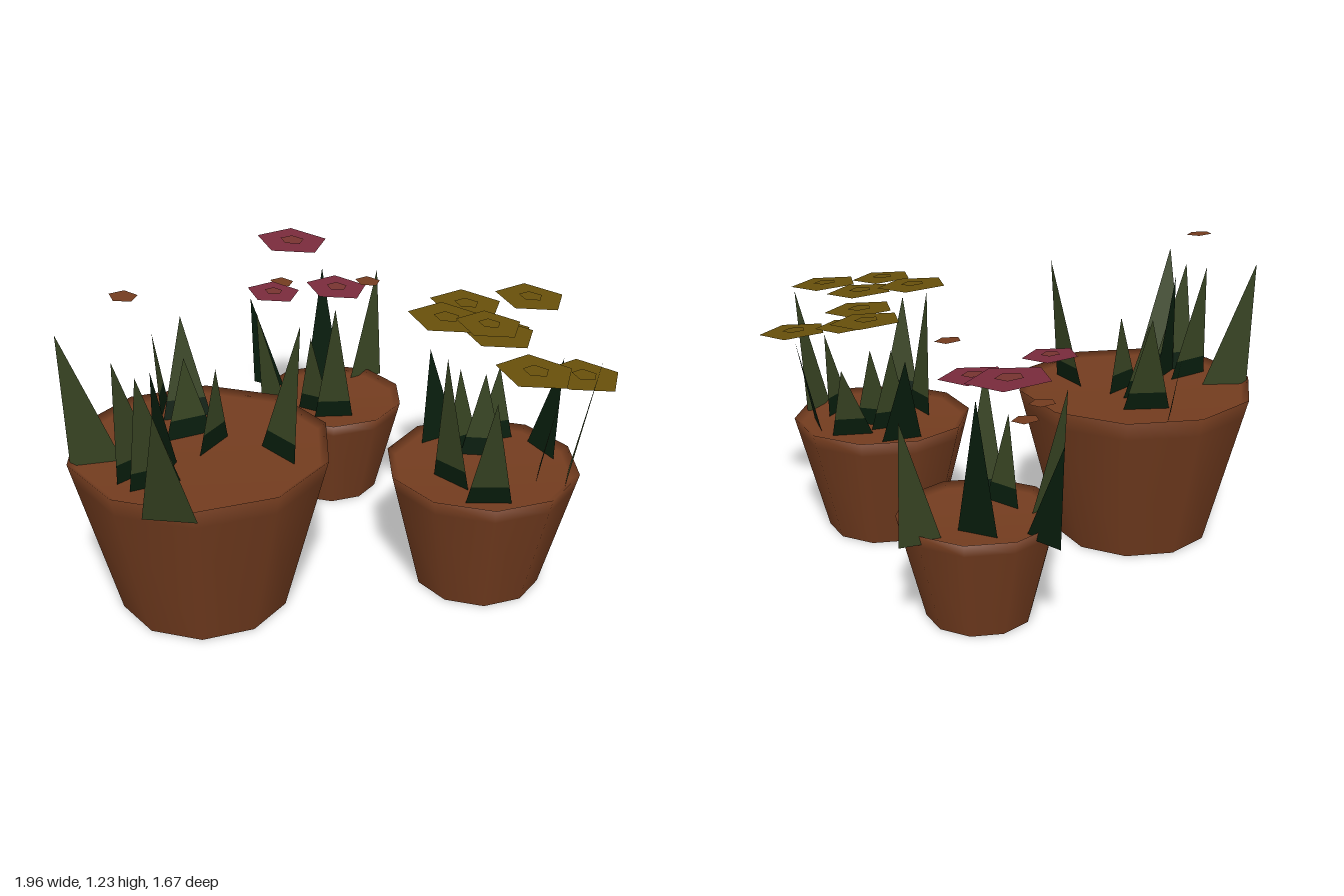
import * as THREE from 'three';

const mat = (name, color) => {
  const m = new THREE.MeshStandardMaterial({ color, side: THREE.DoubleSide });
  m.name = name;
  return m;
};

export function createModel() {
  const clay = mat('clay', 0x733c1f);
  const leafGreen = mat('leaf green', 0x374322);
  const darkGreen = mat('dark green', 0x071c0c);
  const yellow = mat('yellow petal', 0x674f0a);
  const pink = mat('pink petal', 0x792b3c);
  const rosy = mat('rosy centre', 0x773330);

  const root = new THREE.Group();
  const add = (parent, name, geo, material, y = 0) => {
    const m = new THREE.Mesh(geo, material);
    m.name = name;
    m.position.y = y;
    parent.add(m);
  };

  // Ten-sided tapering pot, open below, with a soft rim running into the sunken soil
  function addPot(parent, rTop, rBase, h) {
    const at = (t) => new THREE.Vector2(rBase + (rTop - rBase) * t, h * t);
    const soilY = h - 0.02;
    const profile = [at(0), at(0.88), at(1), new THREE.Vector2(rTop - 0.03, soilY), new THREE.Vector2(0, soilY)];
    add(parent, 'pot', new THREE.LatheGeometry(profile, 10, Math.PI / 2), clay);
  }

  // Flat polygon with three or four corners
  function polygon(points) {
    const g = new THREE.BufferGeometry().setFromPoints(points);
    g.setIndex(points.length === 4 ? [0, 1, 2, 0, 2, 3] : [0, 1, 2]);
    g.computeVertexNormals();
    return g;
  }

  // Blade leaning outward to its tip; its foot runs around the pot unless a heading is given
  function addLeaf(parent, pot, tip, heading, dark) {
    const y = pot.height - 0.035;
    const angle = heading ?? Math.atan2(tip.x, -tip.z);
    const half = new THREE.Vector3(Math.cos(angle), 0, Math.sin(angle)).multiplyScalar(0.055 + pot.rTop * 0.08);
    const mid = new THREE.Vector3(tip.x * 0.77, y, tip.z * 0.77);
    const a = mid.clone().sub(half), b = mid.clone().add(half);
    const outside = Math.hypot(tip.x, tip.z) > pot.rTop;
    if (dark || outside) {
      add(parent, 'leaf', polygon([a, b, tip]), dark ? darkGreen : leafGreen);
      return;
    }
    const k = 0.085 / (tip.y - y);
    const a2 = a.clone().lerp(tip, k), b2 = b.clone().lerp(tip, k);
    add(parent, 'leafFoot', polygon([a, b, b2, a2]), darkGreen);
    add(parent, 'leafBlade', polygon([a2, b2, tip]), leafGreen);
  }

  // Flat five-sided disc, slightly tilted, with an optional centre
  function addFlower(parent, x, y, z, radius, petal, centre) {
    const f = new THREE.Group();
    f.name = 'flower';
    const disc = (r) => new THREE.CircleGeometry(r, 5, 0.02).rotateX(-Math.PI / 2);
    add(f, 'petals', disc(radius), petal);
    if (centre) add(f, 'flowerCentre', disc(radius * 0.34), centre, 0.005);
    f.position.set(x, y, z);
    f.rotation.set(0.05, 0, -0.06);
    parent.add(f);
  }

  // One potted plant; all positions are absolute, leaves are tip x, y, z and heading
  function addPlant(name, pot, leaves, darkLeaves, flowers = [], petal, centre, buds = []) {
    const g = new THREE.Group();
    g.name = name;
    g.position.set(pot.x, 0, pot.z);
    root.add(g);
    addPot(g, pot.rTop, pot.rBase, pot.height);
    const grow = (list, dark) => list.forEach(([x, y, z, heading]) =>
      addLeaf(g, pot, new THREE.Vector3(x - pot.x, y, z - pot.z), heading, dark));
    grow(leaves, false);
    grow(darkLeaves, true);
    flowers.forEach(([x, y, z, r = 0.14]) => addFlower(g, x - pot.x, y, z - pot.z, r, petal, centre));
    buds.forEach(([x, y, z]) => addFlower(g, x - pot.x, y, z - pot.z, 0.05, clay));
  }

  addPlant('largePlant', { x: -0.485, z: 0.23, rTop: 0.475, rBase: 0.312, height: 0.622 },
    [[-0.96, 1.1, 0.21, 0.1], [-0.77, 1.04, 0.78], [-0.76, 1.04, 0.5, -0.1], [-0.81, 1.05, 0.38, -0.46],
      [-0.42, 0.9, 0.23, -0.7], [-0.54, 0.87, -0.22, -1.2], [-0.17, 1.1, 0.41, 1.2],
      [-0.5, 0.9, 0.1], [-0.46, 0.98, -0.09]],
    [[-0.69, 1.01, 0.41, -0.9]],
    [], null, null, [[-0.73, 1.222, 0.25]]);

  addPlant('yellowPlant', { x: 0.522, z: 0.45, rTop: 0.357, rBase: 0.236, height: 0.477 },
    [[0.4, 0.88, 0.77], [0.32, 0.96, 0.54], [0.85, 0.95, 0.68], [0.57, 0.78, 0.35],
      [0.74, 0.78, 0.6], [0.69, 0.74, 0.23, 0], [0.49, 0.79, 0.3]],
    [[0.45, 0.8, 0.12], [0.86, 0.82, 0.4]],
    [[0.588, 0.967, 0.125], [0.39, 1.035, 0.37], [0.6, 0.945, 0.37], [0.73, 1.06, 0.35, 0.13],
      [0.5, 1.04, 0.485, 0.12], [0.86, 0.815, 0.55], [0.58, 0.935, 0.69], [0.66, 0.91, 0.27, 0.12]],
    yellow, yellow);

  addPlant('pinkPlant', { x: 0.247, z: -0.41, rTop: 0.297, rBase: 0.196, height: 0.402 },
    [[-0.08, 0.83, -0.38, -0.6], [0.19, 0.87, -0.21], [0.54, 0.84, -0.64, -0.2], [0.12, 0.72, -0.3]],
    [[0, 0.75, -0.72, 0.9], [0.28, 0.89, -0.61, 0.6]],
    [[0.18, 0.99, -0.7, 0.15], [0.255, 0.895, -0.37, 0.125], [-0.03, 0.935, -0.31, 0.105]],
    pink, rosy, [[0.04, 0.838, -0.53], [0.32, 0.975, -0.2], [0.12, 0.83, -0.66]]);

  return root;
}
